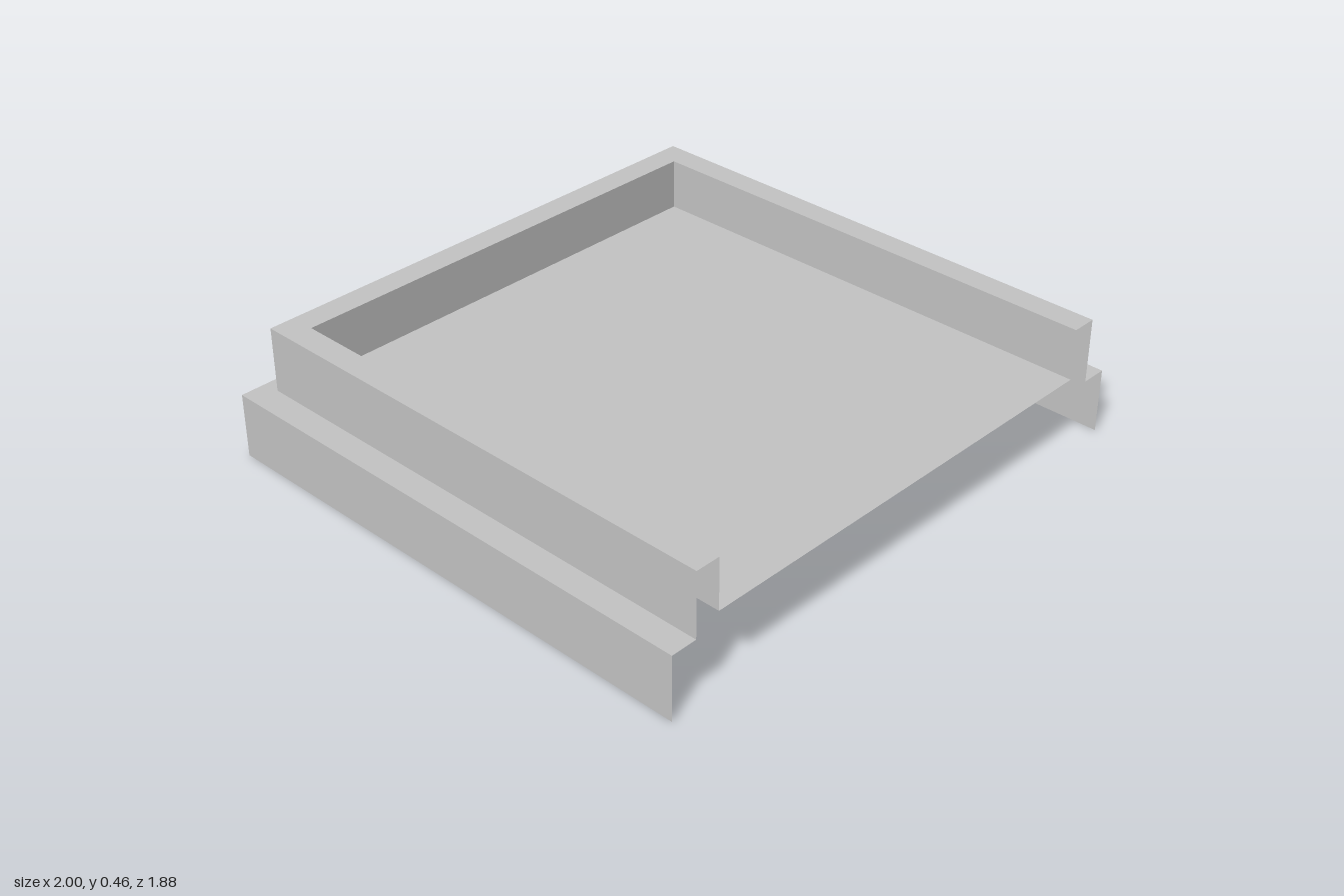
import * as THREE from 'three';

const FRONT = 0.94;

// Strip between two U-shaped outlines (left side, back, right side), open at the front
function uStrip(a, b) {
  const outline = ({ x, back, y }) => [
    [-x, y, FRONT], [-x, y, back], [x, y, back], [x, y, FRONT],
  ];
  const p = outline(a), q = outline(b), pos = [];
  for (let i = 0; i < 3; i++) {
    pos.push(...p[i], ...q[i + 1], ...p[i + 1], ...p[i], ...q[i], ...q[i + 1]);
  }
  const geo = new THREE.BufferGeometry();
  geo.setAttribute('position', new THREE.Float32BufferAttribute(pos, 3));
  geo.computeVertexNormals();
  return geo;
}

export function createModel() {
  const group = new THREE.Group();
  const grey = new THREE.MeshStandardMaterial({ color: 0xc4c4c4, side: THREE.DoubleSide });
  grey.name = 'light grey';

  const add = (name, geo) => {
    const mesh = new THREE.Mesh(geo, grey);
    mesh.name = name;
    group.add(mesh);
    return mesh;
  };

  // Stepped profile: half width, back edge and height, from the ground inwards
  const steps = [
    { x: 1, back: -0.94, y: 0 },
    { x: 1, back: -0.94, y: 0.228 },
    { x: 0.906, back: -0.88, y: 0.228 },
    { x: 0.906, back: -0.88, y: 0.456 },
    { x: 0.817, back: -0.79, y: 0.456 },
    { x: 0.817, back: -0.79, y: 0.275 },
  ];
  const names = ['lowerWall', 'ledge', 'upperWall', 'rim', 'innerWall'];
  names.forEach((name, i) => add(name, uStrip(steps[i], steps[i + 1])));

  // Sunken floor inside the walls
  const { x, back, y } = steps[5];
  const floor = new THREE.PlaneGeometry(2 * x, FRONT - back).rotateX(-Math.PI / 2);
  add('floor', floor).position.set(0, y, (FRONT + back) / 2);

  return group;
}
